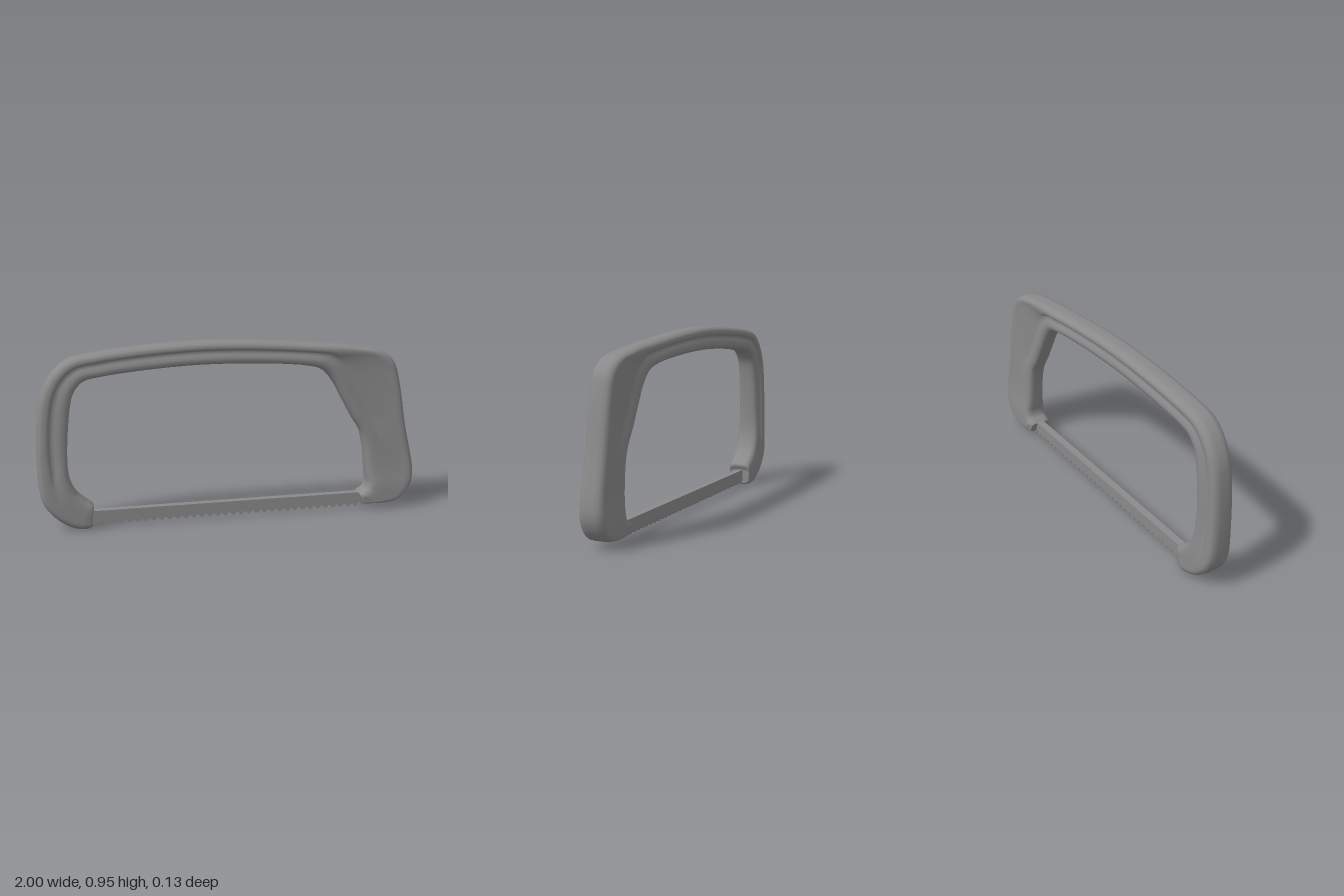
import * as THREE from 'three';

// Stations along the frame: outer x, y and inner x, y
const STATIONS = [
  [-0.735, 0.012, -0.735, 0.09],
  [-0.76, 0.002, -0.725, 0.12],
  [-0.83, 0.012, -0.765, 0.155],
  [-0.91, 0.06, -0.81, 0.2],
  [-0.975, 0.14, -0.84, 0.27],
  [-0.998, 0.25, -0.85, 0.36],
  [-0.98, 0.67, -0.828, 0.64],
  [-0.925, 0.8, -0.805, 0.72],
  [-0.84, 0.878, -0.76, 0.77],
  [-0.72, 0.908, -0.68, 0.79],
  [-0.15, 0.95, -0.15, 0.83],
  [0.48, 0.913, 0.41, 0.798],
  [0.67, 0.89, 0.49, 0.768],
  [0.8, 0.862, 0.545, 0.705],
  [0.87, 0.808, 0.595, 0.615],
  [0.905, 0.7, 0.65, 0.515],
  [0.945, 0.47, 0.705, 0.42],
  [0.998, 0.19, 0.74, 0.19],
  [0.98, 0.11, 0.745, 0.145],
  [0.93, 0.05, 0.735, 0.115],
  [0.86, 0.03, 0.715, 0.1],
  [0.72, 0.028, 0.7, 0.088],
];

const smooth = THREE.MathUtils.smoothstep;

// Front half of the cross-section as [distance from outer edge, z]:
// outer rim, recessed panel, groove, inner rim
function halfProfile(w, h, groove, recess) {
  const r = Math.min(w * 0.55, 0.09);
  const g = w - r;
  const p = h - recess;
  return [
    [0, h * 0.35],
    [Math.min(0.004, g * 0.08), h * 0.68],
    [Math.min(0.014, g * 0.25), h * 0.91],
    [Math.min(0.028, g * 0.42), h],
    [Math.min(0.05, g * 0.58), h - recess * 0.2],
    [Math.min(0.075, g * 0.74), p],
    [Math.max(g - 0.025, g * 0.85), p - groove * 0.5],
    [g, p - groove],
    [g + r * 0.2, p - groove * 0.6],
    [g + r * 0.45, p - groove * 0.1],
    [g + r * 0.7, p * 0.97],
    [g + r * 0.88, p * 0.85],
    [g + r * 0.97, p * 0.64],
    [w, p * 0.35],
  ];
}

// One closed ring between an outer and an inner point
function ringPoints(o, q) {
  const w = o.distanceTo(q), dir = q.clone().sub(o).normalize();
  // Thicker feet, narrowing again at the blade clamps
  const clamp = 1 - smooth(Math.abs(o.x), 0.72, 0.8);
  const foot = 1 - smooth(o.y, 0.06, 0.4);
  const h = 0.057 + 0.008 * foot * (1 - clamp);
  // The groove fades out in the left foot and halfway down the right panel
  const groove = 0.016 * (o.x < 0 ? smooth(o.y, 0.05, 0.3) : smooth(o.y, 0.36, 0.62));
  const recess = 0.008 * smooth(o.x, 0.42, 0.85) * smooth(o.y, 0.08, 0.25);
  const half = halfProfile(w, h, groove, recess);
  const loop = [...half, ...half.slice().reverse().map(([d, z]) => [d, -z])];
  return loop.map(([d, z]) => [o.x + dir.x * d, Math.max(0, o.y + dir.y * d), z]);
}

function frameGeometry() {
  const curve = (k) => new THREE.CatmullRomCurve3(
    STATIONS.map((s) => new THREE.Vector3(s[k], s[k + 1], 0)), false, 'centripetal');
  const outer = curve(0), inner = curve(2);
  const steps = (STATIONS.length - 1) * 7;
  const rings = [], index = [];
  for (let i = 0; i <= steps; i++) {
    rings.push(ringPoints(outer.getPoint(i / steps), inner.getPoint(i / steps)));
  }
  const pos = rings.flat(2);
  const n = rings[0].length;
  for (let i = 0; i < steps; i++) {
    for (let j = 0; j < n; j++) {
      const a = i * n + j, b = i * n + (j + 1) % n;
      index.push(a, b, a + n, b, b + n, a + n);
    }
  }
  // End caps with their own vertices so the edges stay sharp
  [rings[0], rings[steps]].forEach((pts, end) => {
    const base = pos.length / 3;
    const mid = [0, 1, 2].map((k) => pts.reduce((sum, p) => sum + p[k], 0) / n);
    pos.push(...pts.flat(), ...mid);
    for (let j = 0; j < n; j++) {
      const a = base + j, b = base + (j + 1) % n;
      index.push(base + n, end ? a : b, end ? b : a);
    }
  });
  const geo = new THREE.BufferGeometry();
  geo.setAttribute('position', new THREE.Float32BufferAttribute(pos, 3));
  geo.setIndex(index);
  geo.computeVertexNormals();
  return geo;
}

// Straight blade with a row of small scalloped teeth
function bladeGeometry() {
  const x0 = -0.77, x1 = 0.75, teeth = 36, step = (x1 - x0) / teeth, depth = 0.04;
  const shape = new THREE.Shape();
  shape.moveTo(x0, 0.09);
  shape.lineTo(x0, 0.03);
  for (let i = 0; i < teeth; i++) {
    const x = x0 + i * step;
    shape.lineTo(x + step * 0.3, 0.016);
    shape.lineTo(x + step * 0.6, 0.017);
    shape.lineTo(x + step * 0.8, 0.029);
    shape.lineTo(x + step, 0.03);
  }
  shape.lineTo(x1, 0.09);
  const geo = new THREE.ExtrudeGeometry(shape, { depth, bevelEnabled: false });
  geo.translate(0, 0, -depth / 2);
  return geo;
}

export function createModel() {
  const group = new THREE.Group();
  group.name = 'hacksaw';
  const grey = new THREE.MeshStandardMaterial({ color: 0x8a8a8a });
  grey.name = 'grey';

  const frame = new THREE.Mesh(frameGeometry(), grey);
  frame.name = 'frame';
  const blade = new THREE.Mesh(bladeGeometry(), grey);
  blade.name = 'blade';
  group.add(frame, blade);
  return group;
}
